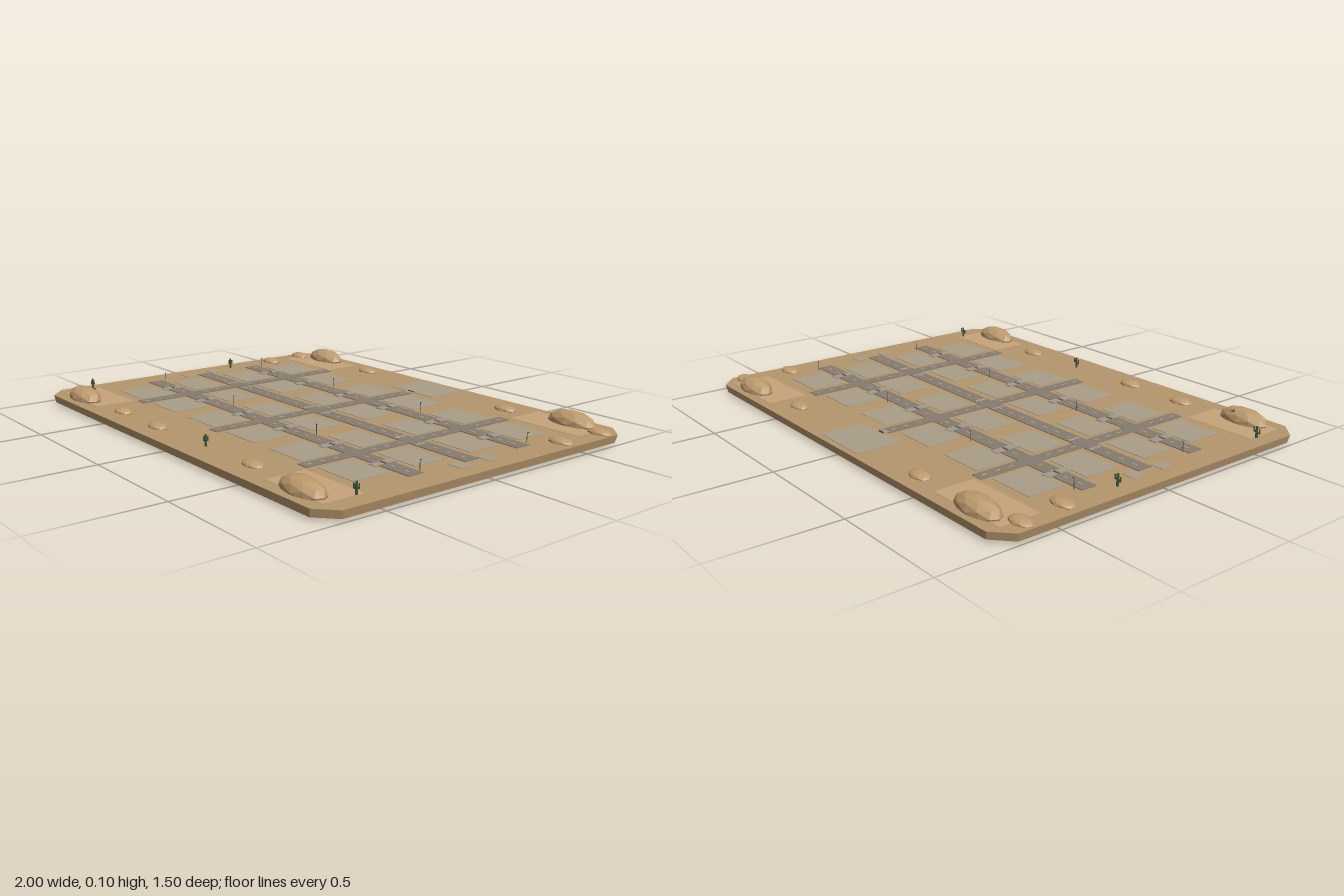
import * as THREE from 'three';

const TOP = 0.042;
const mat = (color) => new THREE.MeshStandardMaterial({ color, flatShading: true });
const M = {
  ground: mat(0xb5966c), sand: mat(0xc6a57a), mound: mat(0xbd9a6d), road: mat(0x857b70),
  lot: mat(0xa99e87), drive: mat(0xa39a8c), line: mat(0xcdb777), white: mat(0xd8d4c8),
  cactus: mat(0x40523a), metal: mat(0x4a4a48), lamp: mat(0xe8d9a8),
};

export function createModel() {
  const model = new THREE.Group();

  const add = (name, geo, material, x, y, z, parent = model) => {
    const m = new THREE.Mesh(geo, material);
    m.name = name;
    m.position.set(x, y, z);
    parent.add(m);
    return m;
  };
  // Thin slab lying on the ground, given by its centre, size and height
  const slab = (name, material, x, z, w, d, h) =>
    add(name, new THREE.BoxGeometry(w, h, d), material, x, TOP + h / 2, z);

  // Base plate with clipped corners, slightly narrower underneath
  const outline = [
    [-0.925, -0.75], [0.925, -0.75], [1, -0.68], [1, 0.68],
    [0.925, 0.75], [-0.925, 0.75], [-1, 0.68], [-1, -0.68],
  ].map(([x, y]) => new THREE.Vector2(x, y));
  const plate = new THREE.ExtrudeGeometry(new THREE.Shape(outline), { depth: 0.032, bevelEnabled: false });
  plate.rotateX(-Math.PI / 2);
  const p = plate.attributes.position;
  for (let i = 0; i < p.count; i++) {
    if (p.getY(i) < 0.01) p.setXYZ(i, p.getX(i) * 0.992, p.getY(i), p.getZ(i) * 0.992);
  }
  plate.computeVertexNormals();
  add('basePlate', plate, M.ground, 0, TOP - 0.032, 0);

  // Lighter sand patches in the corners
  for (const [x, z, w, d] of [
    [-0.755, -0.615, 0.35, 0.17], [0.75, -0.628, 0.34, 0.17],
    [-0.775, 0.61, 0.31, 0.17], [0.765, 0.61, 0.31, 0.17],
  ]) slab('sandPatch', M.sand, x, z, w, d, 0.001);

  // Building lots
  const columns = [-0.7175, -0.4325, -0.1425, 0.1425, 0.4325, 0.7175];
  const rows = [[-0.402, 0.155], [-0.14, 0.15], [0.136, 0.14], [0.4, 0.16]];
  for (const x of columns) {
    for (const [z, d] of rows) slab('lot', M.lot, x, z, 0.195, d, 0.002);
  }
  slab('largeLot', M.lot, 0, -0.63, 0.265, 0.19, 0.002);
  slab('largeLotPath', M.drive, 0, -0.525, 0.04, 0.03, 0.0035);
  slab('gateStep', M.metal, 0, -0.535, 0.03, 0.006, 0.006);
  for (const x of [-0.9, 0.9]) {
    for (const z of [-0.07, 0.07]) slab('smallLot', M.lot, x, z, 0.06, 0.055, 0.002);
  }

  // Roads, dashed lines, driveways
  const crossRoads = [-0.575, 0, 0.572];
  const longRoads = [-0.272, -0.002, 0.266];
  for (const z of longRoads) {
    slab('longRoad', M.road, 0, z, 1.77, 0.067, 0.003);
    for (let x = -0.84; x < 0.86; x += 0.07) {
      if (crossRoads.every((c) => Math.abs(x - c) > 0.04)) slab('roadDash', M.line, x, z, 0.022, 0.004, 0.0036);
    }
  }
  for (const x of crossRoads) {
    slab('crossRoad', M.road, x, -0.002, 0.052, 1.025, 0.0032);
    for (let z = -0.48; z < 0.5; z += 0.06) {
      if (longRoads.every((c) => Math.abs(z - c) > 0.045)) slab('roadDash', M.line, x, z, 0.004, 0.02, 0.0038);
    }
    // Crossing stripes on the main road
    for (const side of [-1, 1]) {
      for (let k = -2; k <= 2; k++) {
        slab('crossingStripe', M.white, x + side * 0.058, -0.002 + k * 0.011, 0.012, 0.004, 0.0036);
      }
    }
  }
  for (const z of [longRoads[0], longRoads[2]]) {
    for (const x of columns) {
      for (const side of [-1, 1]) slab('driveway', M.drive, x, z + side * 0.03, 0.034, 0.046, 0.0042);
      slab('drivewayGap', M.metal, x, z, 0.03, 0.005, 0.004);
    }
  }

  // Faceted mounds: large in the corners, small ones scattered
  const rock = new THREE.IcosahedronGeometry(1, 1);
  for (const x of [-0.785, 0.785]) {
    for (const z of [-0.672, 0.668]) add('largeMound', rock, M.mound, x, 0.049, z).scale.set(0.112, 0.049, 0.055);
  }
  for (const [x, z] of [
    [-0.94, -0.62], [-0.442, -0.66], [0.472, -0.632], [0.942, -0.645], [-0.92, -0.425],
    [0.932, -0.428], [-0.475, 0.645], [-0.18, 0.65], [0.457, 0.635],
  ]) add('smallMound', rock, M.mound, x, 0.044, z).scale.set(0.054, 0.019, 0.035);

  // Cacti with two raised arms
  const trunk = new THREE.CylinderGeometry(0.0045, 0.0055, 0.046, 6);
  const elbow = new THREE.BoxGeometry(0.012, 0.005, 0.005);
  const arm = new THREE.CylinderGeometry(0.003, 0.003, 0.018, 6);
  for (const [x, z] of [[-0.935, 0.557], [0.915, 0.553], [0.16, 0.642], [-0.93, -0.183], [-0.76, 0.635]]) {
    const cactus = new THREE.Group();
    cactus.name = 'cactus';
    cactus.position.set(x, TOP, z);
    add('cactusTrunk', trunk, M.cactus, 0, 0.023, 0, cactus);
    for (const s of [-1, 1]) {
      const y = s < 0 ? 0.02 : 0.025;
      add('cactusElbow', elbow, M.cactus, s * 0.008, y, 0, cactus);
      add('cactusArm', arm, M.cactus, s * 0.013, y + 0.007, 0, cactus);
    }
    model.add(cactus);
  }

  // Street lamps beside the outer roads
  const pole = new THREE.CylinderGeometry(0.0012, 0.0012, 0.042, 6);
  for (const x of [-0.86, -0.287, 0.287, 0.86]) {
    for (const z of [-0.32, 0.225]) {
      const lamp = new THREE.Group();
      lamp.name = 'streetLamp';
      lamp.position.set(x, TOP, z);
      add('lampPole', pole, M.metal, 0, 0.021, 0, lamp);
      add('lampArm', new THREE.BoxGeometry(0.012, 0.0015, 0.002), M.metal, 0.005, 0.042, 0, lamp);
      add('lampHead', new THREE.BoxGeometry(0.005, 0.002, 0.004), M.lamp, 0.01, 0.0405, 0, lamp);
      model.add(lamp);
    }
  }
  return model;
}
